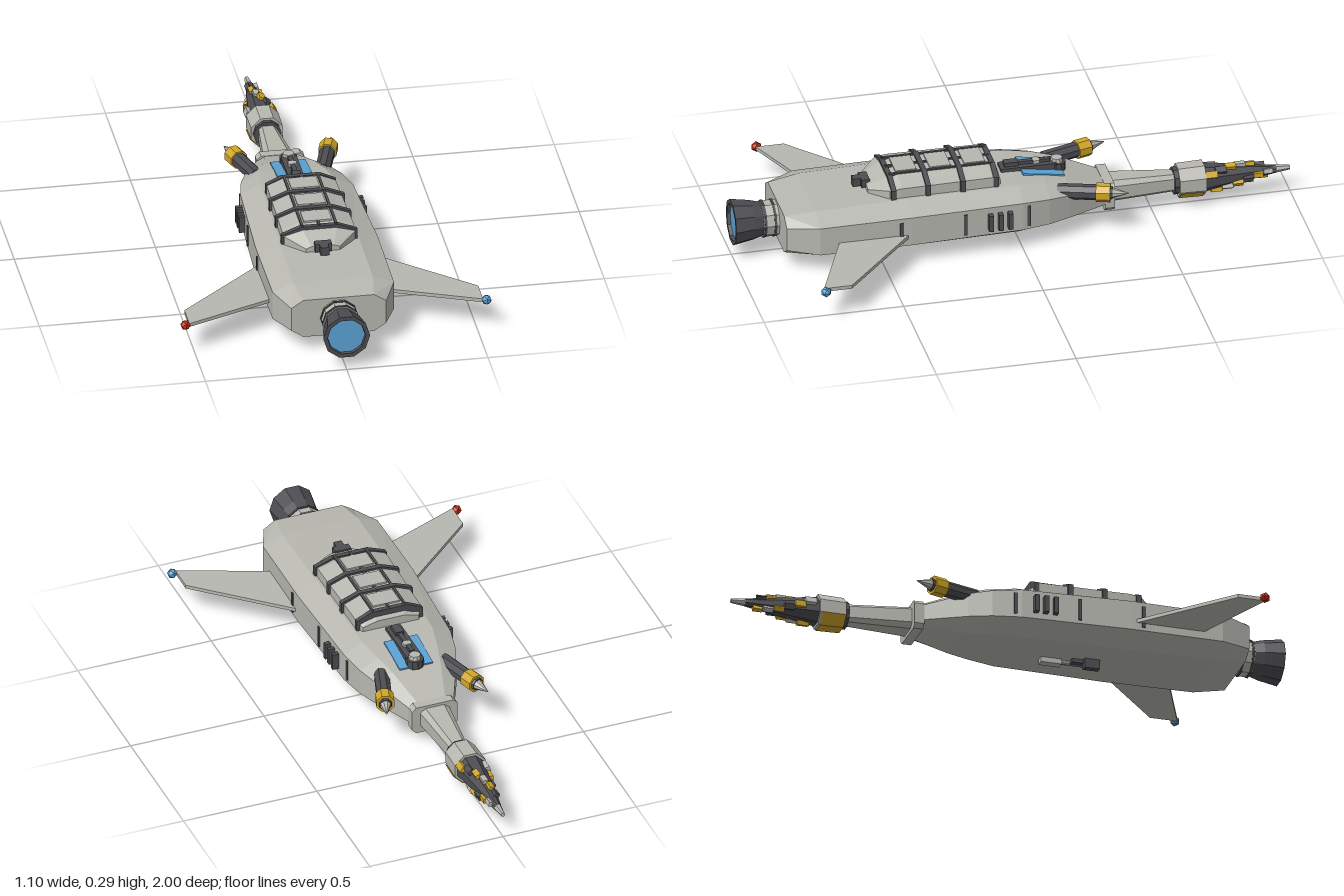
import * as THREE from 'three';

const mat = (name, color, side = THREE.FrontSide) => {
  const m = new THREE.MeshStandardMaterial({ color, side, flatShading: true });
  m.name = name;
  return m;
};

// Closed skin through cross-sections, ordered from -z to +z, each ring counterclockwise seen from +z
function loft(rings) {
  const pos = [];
  const tri = (a, b, c) => pos.push(...a, ...b, ...c);
  const n = rings[0].length;
  for (let i = 0; i < rings.length - 1; i++) {
    for (let j = 0; j < n; j++) {
      const k = (j + 1) % n;
      const a = rings[i][j], b = rings[i][k], c = rings[i + 1][k], d = rings[i + 1][j];
      tri(a, b, c);
      tri(a, c, d);
    }
  }
  const first = rings[0], last = rings[rings.length - 1];
  for (let j = 1; j < n - 1; j++) {
    tri(first[0], first[j + 1], first[j]);
    tri(last[0], last[j], last[j + 1]);
  }
  const g = new THREE.BufferGeometry();
  g.setAttribute('position', new THREE.Float32BufferAttribute(pos, 3));
  g.computeVertexNormals();
  return g;
}

// Eight-cornered ring: half width, flat half width, bottom, lower edge, upper edge, top
const ring = ([z, w, f, y0, y1, y2, y3]) => [
  [w, y1, z], [w, y2, z], [f, y3, z], [-f, y3, z],
  [-w, y2, z], [-w, y1, z], [-f, y0, z], [f, y0, z],
];

// Cylinder lying along z between two stations
function barrel(zBack, rBack, zFront, rFront, sides = 10) {
  const g = new THREE.CylinderGeometry(rFront, rBack, zFront - zBack, sides);
  g.rotateY(Math.PI / sides);
  g.rotateX(Math.PI / 2);
  g.translate(0, 0, (zBack + zFront) / 2);
  return g;
}

export function createModel() {
  const ship = new THREE.Group();
  ship.name = 'ship';
  const hullGrey = mat('hull grey', 0xb8b8b1);
  const darkGrey = mat('dark grey', 0x4d4d52);
  const yellow = mat('yellow', 0xd0a728);
  const blue = mat('blue', 0x5ba2d4);
  const red = mat('red', 0xc92a10);

  const add = (name, geo, m, x = 0, y = 0, z = 0, parent = ship) => {
    const mesh = new THREE.Mesh(geo, m);
    mesh.name = name;
    mesh.position.set(x, y, z);
    parent.add(mesh);
    return mesh;
  };
  const box = (name, m, w, h, d, x, y, z, parent) =>
    add(name, new THREE.BoxGeometry(w, h, d), m, x, y, z, parent);

  // Main hull
  add('hull', loft([
    [-0.33, 0.08, 0.05, 0.06, 0.075, 0.13, 0.145],
    [-0.18, 0.15, 0.09, 0.042, 0.078, 0.165, 0.195],
    [-0.1, 0.18, 0.11, 0.038, 0.078, 0.175, 0.21],
    [0.0, 0.2, 0.13, 0.035, 0.078, 0.183, 0.218],
    [0.4, 0.217, 0.14, 0.035, 0.078, 0.186, 0.22],
    [0.73, 0.215, 0.14, 0.04, 0.078, 0.183, 0.212],
    [0.84, 0.168, 0.125, 0.056, 0.085, 0.172, 0.2],
  ].map(ring)), hullGrey);

  // Engine
  add('engineMount', barrel(0.83, 0.065, 0.895, 0.065), hullGrey, 0, 0.128);
  for (const z of [0.85, 0.885]) add('engineMountRing', barrel(z, 0.068, z + 0.008, 0.068), darkGrey, 0, 0.128);
  const nozzle = new THREE.LatheGeometry(
    [[0.0, 0.885], [0.058, 0.885], [0.071, 0.93], [0.083, 1.0], [0.068, 1.0], [0.066, 0.985]]
      .map(([r, z]) => new THREE.Vector2(r, z)), 10, Math.PI / 10);
  nozzle.rotateX(Math.PI / 2);
  add('engineNozzle', nozzle, darkGrey, 0, 0.128);
  add('engineGlow', barrel(0.98, 0.067, 0.988, 0.067), blue, 0, 0.128);

  // Neck and collar
  add('neckCollar', loft([
    [-0.355, 0.085, 0.07, 0.045, 0.06, 0.135, 0.15],
    [-0.32, 0.085, 0.07, 0.045, 0.06, 0.135, 0.15],
  ].map(ring)), hullGrey);
  add('neck', loft([
    [-0.6, 0.03, 0.018, 0.06, 0.072, 0.113, 0.125],
    [-0.35, 0.055, 0.035, 0.058, 0.075, 0.125, 0.14],
  ].map(ring)), hullGrey);

  // Drill head
  const drill = new THREE.Group();
  drill.name = 'drillHead';
  drill.position.y = 0.092;
  ship.add(drill);
  add('drillRing', barrel(-0.595, 0.05, -0.58, 0.05), darkGrey, 0, 0, 0, drill);
  add('drillDrum', barrel(-0.69, 0.062, -0.595, 0.06, 8), hullGrey, 0, 0, 0, drill);
  const guard = new THREE.CylinderGeometry(0.064, 0.066, 0.085, 3, 1, true, -Math.PI * 3 / 8, Math.PI * 3 / 4);
  guard.rotateX(Math.PI / 2);
  add('drillGuard', guard, mat('guard yellow', 0xd0a728, THREE.DoubleSide), 0, 0, -0.64, drill);
  add('drillCone', barrel(-0.95, 0.014, -0.69, 0.052, 8), darkGrey, 0, 0, 0, drill);
  add('drillTip', barrel(-1.0, 0.008, -0.93, 0.016, 6), hullGrey, 0, 0, 0, drill);
  const teeth = [yellow, hullGrey, yellow, darkGrey];
  for (let i = 0; i < 18; i++) {
    const t = i / 18, z = -0.71 - t * 0.22, r = 0.05 - t * 0.033, a = i * 2.2 + 0.6;
    const tooth = box('drillTooth', teeth[i % 4], 0.024 - t * 0.008, 0.018, 0.042 - t * 0.01,
      Math.cos(a) * r, Math.sin(a) * r, z, drill);
    tooth.rotation.z = a - Math.PI / 2;
  }

  // Parts found on both sides
  for (const s of [1, -1]) {
    // Swept wing with a tip lamp
    const plan = new THREE.Shape([[0.2, 0.4], [0.52, 0.69], [0.52, 0.79], [0.2, 0.657]]
      .map(([x, z]) => new THREE.Vector2(s * x, z)));
    const wing = new THREE.ExtrudeGeometry(plan, { depth: 0.013, bevelEnabled: false });
    wing.rotateX(Math.PI / 2);
    add(s > 0 ? 'leftWing' : 'rightWing', wing, hullGrey, 0, 0.119);
    add('wingLamp', new THREE.IcosahedronGeometry(0.019, 0), s > 0 ? blue : red, s * 0.533, 0.112, 0.785);

    // Angled forward pod
    const pod = new THREE.Group();
    pod.name = s > 0 ? 'leftPod' : 'rightPod';
    pod.position.set(s * 0.125, 0.17, -0.17);
    pod.rotation.y = -s * 0.3;
    ship.add(pod);
    add('podBody', barrel(-0.11, 0.028, 0.03, 0.028, 8), darkGrey, 0, 0, 0, pod);
    add('podCollar', barrel(-0.155, 0.034, -0.105, 0.034, 8), yellow, 0, 0, 0, pod);
    add('podMuzzle', barrel(-0.163, 0.022, -0.15, 0.026, 8), darkGrey, 0, 0, 0, pod);
    add('podSpike', barrel(-0.22, 0.001, -0.16, 0.02, 8), hullGrey, 0, 0, 0, pod);

    // Side vents and panel seams
    for (const z of [0.05, 0.085, 0.12]) box('sideVent', darkGrey, 0.03, 0.062, 0.016, s * 0.211, 0.13, z);
    for (const [z, x] of [[-0.02, 0.192], [0.21, 0.207], [0.44, 0.214]])
      box('panelSeam', darkGrey, 0.014, 0.08, 0.012, s * x, 0.13, z);
  }

  // Cargo bay canopy on the back
  add('cargoBay', loft([
    [0.06, 0.105, 0.05, 0.2, 0.205, 0.235, 0.25],
    [0.09, 0.122, 0.065, 0.2, 0.205, 0.256, 0.28],
    [0.42, 0.128, 0.065, 0.2, 0.205, 0.256, 0.28],
    [0.46, 0.125, 0.06, 0.2, 0.205, 0.25, 0.268],
    [0.525, 0.06, 0.04, 0.2, 0.205, 0.23, 0.238],
  ].map(ring)), hullGrey);
  for (const [z, w, top] of [[0.08, 0.124, 0.283], [0.2, 0.134, 0.287], [0.325, 0.134, 0.287], [0.448, 0.135, 0.28]])
    add('cargoRib', loft([-0.009, 0.009].map(d =>
      ring([z + d, w, 0.068, 0.2, 0.205, top - 0.026, top]))), darkGrey);
  for (const x of [-0.06, 0, 0.06]) box('cargoRail', darkGrey, 0.009, 0.012, 0.37, x, 0.279, 0.265);
  for (const z of [0.14, 0.263, 0.386]) box('cargoPanel', hullGrey, 0.1, 0.012, 0.075, 0, 0.28, z);
  box('cargoHatch', darkGrey, 0.06, 0.03, 0.03, 0, 0.237, 0.525);
  box('cargoLatch', darkGrey, 0.03, 0.03, 0.055, 0, 0.237, 0.54);

  // Cockpit glass and dorsal gun
  const glass = box('cockpitGlass', blue, 0.125, 0.009, 0.15, 0, 0.208, -0.105);
  glass.rotation.x = -0.15;
  box('gunBase', darkGrey, 0.056, 0.022, 0.2, 0, 0.219, -0.06);
  box('gunBreech', darkGrey, 0.03, 0.02, 0.05, 0, 0.235, 0.0);
  box('gunBarrel', darkGrey, 0.016, 0.012, 0.12, 0, 0.235, -0.08);
  box('gunSight', hullGrey, 0.03, 0.02, 0.022, 0, 0.232, -0.09);
  const turret = new THREE.CylinderGeometry(0.032, 0.032, 0.03, 10);
  add('gunTurret', turret, darkGrey, 0, 0.21, -0.165);
  add('gunTurretCap', new THREE.CylinderGeometry(0.02, 0.024, 0.02, 10), hullGrey, 0, 0.23, -0.165);

  // Belly gun
  box('bellyMount', darkGrey, 0.024, 0.035, 0.055, -0.018, 0.0175, 0.31);
  box('bellyArm', darkGrey, 0.03, 0.014, 0.06, 0, 0.028, 0.27);
  box('bellyGun', hullGrey, 0.03, 0.02, 0.075, 0.018, 0.026, 0.17);
  add('bellyBarrel', barrel(0.2, 0.008, 0.29, 0.008, 8), hullGrey, 0.012, 0.026);

  return ship;
}
